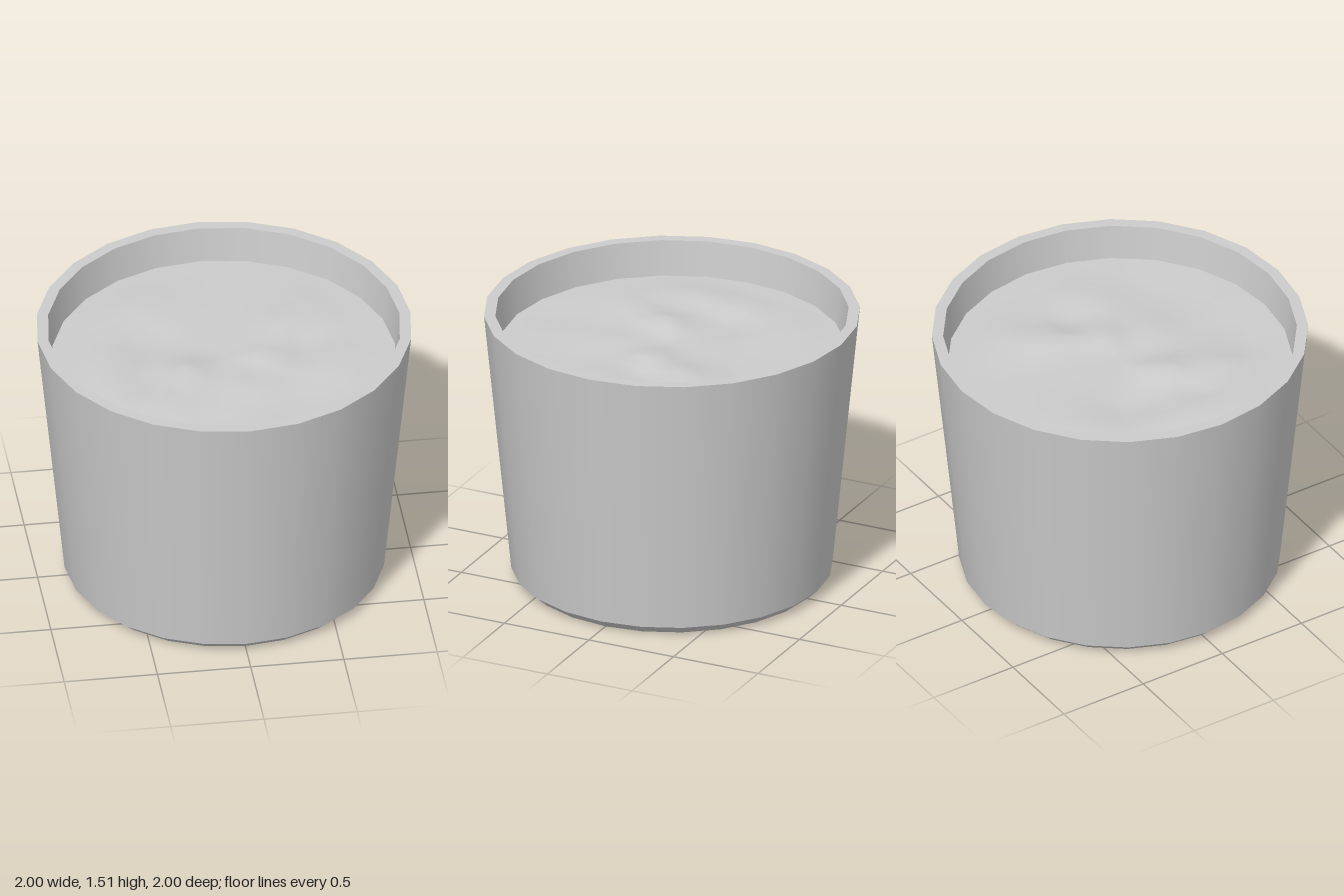
import * as THREE from 'three';
import { mergeVertices } from 'three/addons/utils/BufferGeometryUtils.js';

const SIDES = 24;
const material = new THREE.MeshStandardMaterial({ color: 0xcccccc });

// One band of revolution, smooth around and sharp at its ends
function band(name, r0, y0, r1, y1) {
  const points = [new THREE.Vector2(r0, y0), new THREE.Vector2(r1, y1)];
  const mesh = new THREE.Mesh(new THREE.LatheGeometry(points, SIDES), material);
  mesh.name = name;
  return mesh;
}

// Clumps in the soil: x, z, height, radius
const clumps = [
  [-0.22, 0.14, 0.045, 0.12], [-0.36, 0.42, 0.04, 0.15], [-0.62, 0.22, 0.03, 0.14],
  [-0.58, -0.1, 0.035, 0.13], [-0.42, -0.5, 0.02, 0.2], [0.24, 0.02, 0.035, 0.12],
  [0.36, -0.22, 0.045, 0.13], [0.5, -0.4, 0.025, 0.15], [0.1, 0.3, 0.02, 0.12],
  [0.55, 0.15, 0.02, 0.16], [-0.2, 0.62, -0.025, 0.15], [-0.45, 0.28, -0.02, 0.1],
  [0.42, -0.06, -0.03, 0.12], [-0.42, -0.18, -0.025, 0.13], [0.4, 0.5, -0.015, 0.2],
];

function soilGeometry(radius, y) {
  const rings = 10;
  const profile = [];
  for (let i = 0; i <= rings; i++) profile.push(new THREE.Vector2(radius * (1 - i / rings), y));
  let geometry = new THREE.LatheGeometry(profile, SIDES);
  geometry.deleteAttribute('uv');
  geometry.deleteAttribute('normal');
  geometry = mergeVertices(geometry, 1e-4);
  const p = geometry.attributes.position;
  for (let i = 0; i < p.count; i++) {
    const x = p.getX(i), z = p.getZ(i);
    // Relief fades out where the soil meets the wall
    const fade = Math.min(1, Math.max(0, (radius - Math.hypot(x, z)) / 0.15));
    let h = 0;
    for (const [cx, cz, height, r] of clumps) {
      h += height * Math.exp(-((x - cx) ** 2 + (z - cz) ** 2) / (r * r));
    }
    p.setY(i, y + h * fade);
  }
  geometry.computeVertexNormals();
  return geometry;
}

export function createModel() {
  const group = new THREE.Group();
  group.name = 'plantPot';

  // Tapered pot, from the base up and over the rim
  group.add(
    band('base', 0, 0, 0.8, 0),
    band('baseBevel', 0.8, 0, 0.855, 0.05),
    band('outerWall', 0.855, 0.05, 1, 1.51),
    band('rim', 1, 1.51, 0.94, 1.51),
    band('innerWall', 0.94, 1.51, 0.915, 1.3),
  );

  // Uneven soil filling
  const soil = new THREE.Mesh(soilGeometry(0.917, 1.315), material);
  soil.name = 'soil';
  group.add(soil);

  return group;
}
